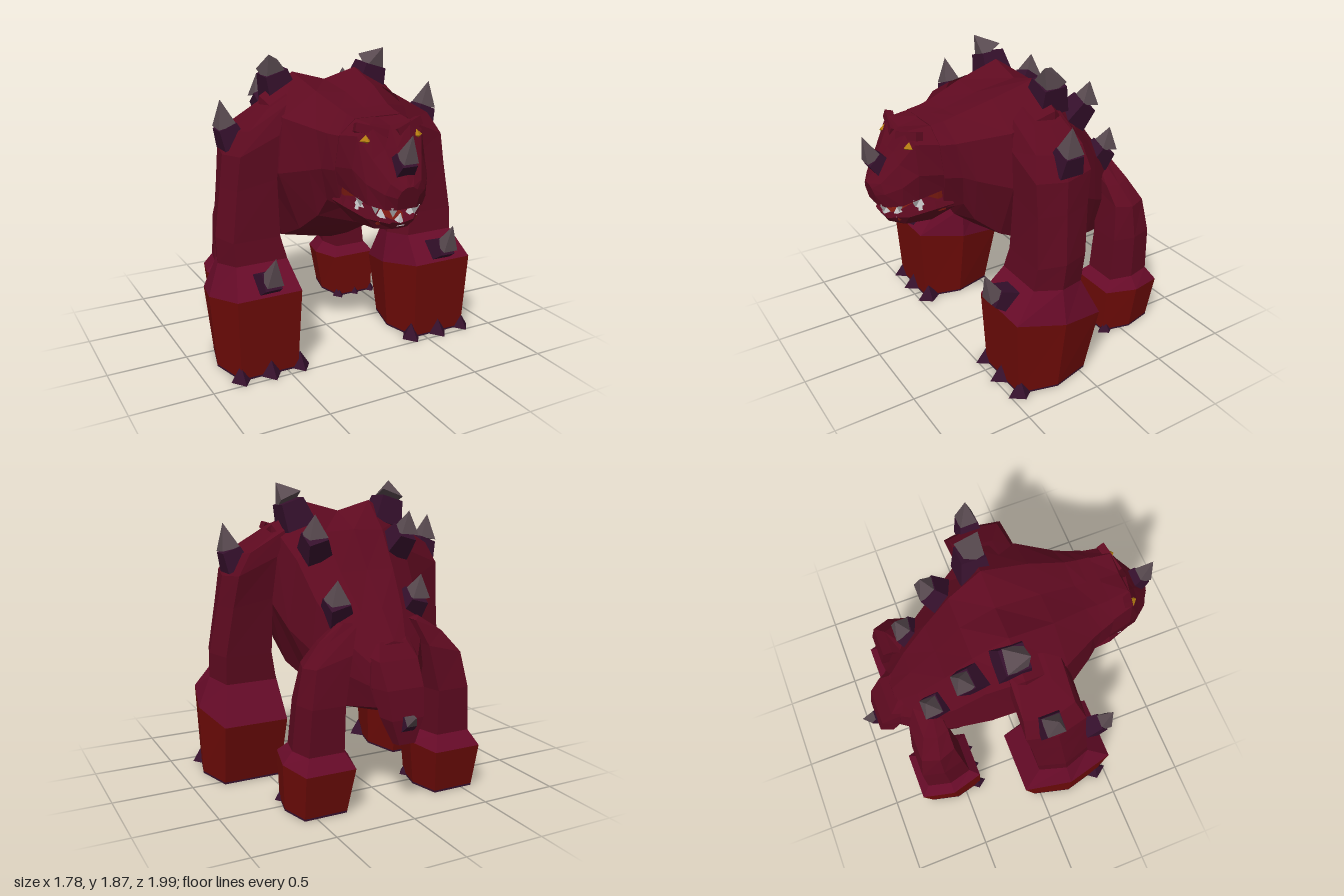
import * as THREE from 'three';

const mat = (color) => new THREE.MeshStandardMaterial({ color, flatShading: true });
const SKIN = mat(0x5e0a20), CUFF = mat(0x680b29), HOOF = mat(0x6e0b08), PLUM = mat(0x35102c);
const HORN = mat(0x594a50), EYE = mat(0xb07a10), MOUTH = mat(0x7a1a10), TOOTH = mat(0xcccccc);
const V = (x, y, z) => new THREE.Vector3(x, y, z);

// Skin a closed tube through rings of points, with both ends capped.
function loft(name, rings, material) {
  const pos = [], n = rings[0].length;
  const tri = (...p) => p.forEach((v) => pos.push(v.x, v.y, v.z));
  const centre = (r) => r.reduce((a, p) => a.add(p), V(0, 0, 0)).divideScalar(n);
  const first = rings[0], last = rings[rings.length - 1];
  const c0 = centre(first), c1 = centre(last);
  for (let j = 0; j < n; j++) {
    const k = (j + 1) % n;
    for (let i = 0; i + 1 < rings.length; i++) {
      const a = rings[i][j], b = rings[i][k], c = rings[i + 1][k], d = rings[i + 1][j];
      tri(a, d, b);
      tri(b, d, c);
    }
    tri(c0, first[j], first[k]);
    tri(c1, last[k], last[j]);
  }
  const g = new THREE.BufferGeometry();
  g.setAttribute('position', new THREE.Float32BufferAttribute(pos, 3));
  g.computeVertexNormals();
  const mesh = new THREE.Mesh(g, material);
  mesh.name = name;
  return mesh;
}

// Upright ring from a half profile (top to bottom), leaning from zTop to zBottom.
function section(zTop, zBottom, half) {
  const y0 = half[0][1], y1 = half[half.length - 1][1];
  const at = (s) => ([x, y]) => V(x * s, y, zTop + (zBottom - zTop) * (y0 - y) / (y0 - y1));
  return [...half.map(at(1)), ...half.slice(1, -1).reverse().map(at(-1))];
}

// Level six-sided ring for limbs; tz and tx tip it along z and x.
const HEX = [[1, 0], [0.75, 1], [-0.75, 1], [-1, 0], [-0.75, -1], [0.75, -1]];
const hexRing = (s, [cx, y, cz, rx, rz, tz = 0, tx = 0]) =>
  HEX.map(([x, z]) => V(s * cx + x * rx, y + tz * z + tx * s * x, cz + z * rz));

// Four-sided cone or frustum between two points.
function taper(name, from, to, r0, r1, material) {
  const d = to.clone().sub(from);
  const g = new THREE.CylinderGeometry(r1, r0, d.length(), 4);
  g.rotateY(Math.PI / 4);
  const m = new THREE.Mesh(g, material);
  m.position.copy(from).addScaledVector(d, 0.5);
  m.quaternion.setFromUnitVectors(V(0, 1, 0), d.normalize());
  m.name = name;
  return m;
}

// Dark socket from base to mid, with a pale point bending on to the tip.
function spike(name, base, mid, tip, r) {
  const g = new THREE.Group();
  g.add(taper('socket', base, mid, r, r * 0.75, PLUM), taper('point', mid, tip, r * 0.74, 0, HORN));
  g.name = name;
  return g;
}

// Leg with skin, flared cuff, hoof, sole and a row of claws.
function leg(name, s, skin, cuff, sole, claws) {
  const g = new THREE.Group();
  const top = sole.slice();
  top[1] = 0.012;
  g.add(loft('limb', skin.map((r) => hexRing(s, r)), SKIN));
  g.add(loft('cuff', [hexRing(s, cuff), hexRing(s, skin[0])], CUFF));
  g.add(loft('hoof', [hexRing(s, top), hexRing(s, cuff)], HOOF));
  g.add(loft('sole', [hexRing(s, sole), hexRing(s, top)], PLUM));
  for (const [x, z, r] of claws) {
    const claw = new THREE.Mesh(new THREE.ConeGeometry(r, r * 1.2, 4), PLUM);
    claw.position.set(s * x, r * 0.6, z);
    claw.scale.x = 0.75;
    claw.name = 'claw';
    g.add(claw);
  }
  g.name = name;
  return g;
}

export function createModel() {
  const model = new THREE.Group();
  model.name = 'hornedBeast';

  // Body from rump to neck
  model.add(loft('body', [
    section(-0.74, -0.78, [[0, 0.99], [0.08, 0.97], [0.16, 0.88], [0.17, 0.75], [0.13, 0.62], [0, 0.57]]),
    section(-0.6, -0.6, [[0, 1.16], [0.14, 1.14], [0.28, 1.02], [0.3, 0.82], [0.25, 0.6], [0, 0.55]]),
    section(-0.42, -0.42, [[0, 1.36], [0.18, 1.36], [0.34, 1.2], [0.37, 0.9], [0.3, 0.62], [0, 0.56]]),
    section(-0.25, -0.2, [[0, 1.59], [0.2, 1.58], [0.38, 1.42], [0.43, 1.0], [0.3, 0.66], [0, 0.6]]),
    section(-0.03, 0.05, [[0, 1.69], [0.22, 1.75], [0.45, 1.62], [0.49, 1.2], [0.34, 0.73], [0, 0.66]]),
    section(0.25, 0.28, [[0, 1.65], [0.2, 1.67], [0.42, 1.53], [0.46, 1.2], [0.33, 0.84], [0, 0.76]]),
    section(0.47, 0.42, [[0, 1.59], [0.16, 1.6], [0.31, 1.49], [0.35, 1.25], [0.28, 0.96], [0, 0.87]]),
    section(0.55, 0.48, [[0, 1.58], [0.155, 1.58], [0.28, 1.48], [0.3, 1.27], [0.25, 1.07], [0, 1.03]]),
    section(0.63, 0.6, [[0, 1.57], [0.15, 1.57], [0.25, 1.48], [0.27, 1.28], [0.22, 1.06], [0, 1.0]]),
  ], SKIN));

  // Upper head and snout
  model.add(loft('upperHead', [
    section(0.6, 0.6, [[0, 1.57], [0.15, 1.57], [0.25, 1.48], [0.27, 1.3], [0.25, 1.2], [0, 1.2]]),
    section(0.76, 0.76, [[0, 1.54], [0.13, 1.56], [0.21, 1.5], [0.24, 1.32], [0.22, 1.16], [0, 1.16]]),
    section(0.84, 0.85, [[0, 1.43], [0.08, 1.43], [0.16, 1.38], [0.2, 1.25], [0.19, 1.13], [0, 1.13]]),
    section(0.94, 0.92, [[0, 1.29], [0.05, 1.28], [0.1, 1.26], [0.13, 1.2], [0.12, 1.11], [0, 1.11]]),
    section(0.98, 0.95, [[0, 1.24], [0.02, 1.24], [0.05, 1.22], [0.07, 1.18], [0.06, 1.11], [0, 1.11]]),
  ], SKIN));

  // Lower jaw, mouth lining and floor
  model.add(loft('lowerJaw', [
    section(0.55, 0.5, [[0, 1.1], [0.22, 1.14], [0.25, 1.09], [0.18, 1.03], [0, 1.02]]),
    section(0.66, 0.66, [[0, 1.06], [0.22, 1.13], [0.24, 1.08], [0.17, 0.98], [0, 0.965]]),
    section(0.81, 0.81, [[0, 1.02], [0.17, 1.07], [0.18, 1.04], [0.12, 0.97], [0, 0.95]]),
    section(0.9, 0.88, [[0, 1.01], [0.07, 1.03], [0.08, 1.02], [0.05, 0.98], [0, 0.975]]),
  ], SKIN));
  const lining = new THREE.Mesh(new THREE.BoxGeometry(0.44, 0.16, 0.05), MOUTH);
  lining.position.set(0, 1.13, 0.612);
  lining.name = 'mouthLining';
  const floor = new THREE.Mesh(new THREE.BoxGeometry(0.26, 0.02, 0.22), MOUTH);
  floor.position.set(0, 1.045, 0.75);
  floor.rotation.x = 0.27;
  floor.name = 'mouthFloor';
  model.add(lining, floor);

  // Tail drooping from the rump
  model.add(loft('tail', [
    [0, 0.42, -0.86, 0.07, 0.045], [0, 0.58, -0.83, 0.14, 0.08, 0.01], [0, 0.74, -0.77, 0.16, 0.11],
    [0, 0.92, -0.7, 0.17, 0.1, 0.03], [0, 1.04, -0.66, 0.12, 0.07, 0.05],
  ].map((r) => hexRing(1, r)), SKIN));
  model.add(spike('tailSpike', V(0, 0.53, -0.88), V(0, 0.565, -0.935), V(0, 0.605, -1), 0.06));
  model.add(spike('noseHorn', V(0, 1.3, 0.86), V(0, 1.385, 0.94), V(0, 1.53, 0.99), 0.09));
  model.add(taper('tooth', V(0, 1.0, 0.87), V(0, 1.07, 0.89), 0.035, 0, TOOTH));

  for (const s of [1, -1]) {
    const side = s > 0 ? 'left' : 'right';

    // Legs
    model.add(leg(side + 'FrontLeg', s, [
      [0.6, 0.66, 0.15, 0.22, 0.17, 0.02], [0.62, 0.82, 0.13, 0.2, 0.17],
      [0.6, 1.15, 0.1, 0.17, 0.175, 0, -0.03], [0.575, 1.38, 0.08, 0.165, 0.19, 0, -0.07],
      [0.5, 1.53, 0.06, 0.16, 0.16, 0, -0.09], [0.4, 1.6, 0.03, 0.09, 0.1, 0, -0.05],
    ], [0.615, 0.46, 0.17, 0.275, 0.3, 0.06], [0.615, 0, 0.2, 0.25, 0.245],
    [[0.41, 0.43, 0.085], [0.61, 0.445, 0.085], [0.8, 0.43, 0.085]]));
    model.add(leg(side + 'BackLeg', s, [
      [0.43, 0.37, -0.59, 0.15, 0.15], [0.42, 0.65, -0.61, 0.14, 0.14],
      [0.37, 0.9, -0.61, 0.15, 0.11, 0, -0.04], [0.29, 1.03, -0.58, 0.12, 0.08, -0.01, -0.05],
      [0.21, 1.09, -0.56, 0.06, 0.04],
    ], [0.43, 0.295, -0.59, 0.21, 0.21, 0.015], [0.44, 0, -0.565, 0.18, 0.185],
    [[0.31, -0.4, 0.06], [0.44, -0.4, 0.06], [0.57, -0.4, 0.06]]));

    // Spikes on shoulders, feet and back
    model.add(
      spike(side + 'ShoulderSpike', V(s * 0.66, 1.36, 0.05), V(s * 0.705, 1.475, 0.05), V(s * 0.735, 1.635, 0.06), 0.11),
      spike(side + 'FootSpike', V(s * 0.61, 0.57, 0.38), V(s * 0.615, 0.63, 0.5), V(s * 0.615, 0.79, 0.56), 0.1),
      spike(side + 'FrontBackSpike', V(s * 0.3, 1.6, -0.06), V(s * 0.35, 1.76, -0.05), V(s * 0.4, 1.87, 0.02), 0.14),
      spike(side + 'MiddleBackSpike', V(s * 0.27, 1.46, -0.26), V(s * 0.31, 1.57, -0.345), V(s * 0.32, 1.7, -0.37), 0.115),
      spike(side + 'RearBackSpike', V(s * 0.23, 1.09, -0.47), V(s * 0.27, 1.21, -0.55), V(s * 0.28, 1.34, -0.58), 0.115),
    );

    // Brow and eye
    model.add(taper(side + 'Brow', V(s * 0.03, 1.5, 0.78), V(s * 0.21, 1.545, 0.73), 0.03, 0.035, SKIN));
    const eye = new THREE.Mesh(new THREE.OctahedronGeometry(0.045), EYE);
    eye.position.set(s * 0.165, 1.475, 0.775);
    eye.scale.set(0.9, 0.7, 0.8);
    eye.name = side + 'Eye';
    model.add(eye);

    // Teeth: lower row points up, upper row points down
    for (const [x, y, z] of [[0.1, 1.03, 0.84], [0.18, 1.08, 0.73]])
      model.add(taper('tooth', V(s * x, y, z), V(s * x, y + 0.07, z), 0.035, 0, TOOTH));
    for (const [x, y, z] of [[0.07, 1.12, 0.92], [0.14, 1.13, 0.85], [0.19, 1.16, 0.77]])
      model.add(taper('tooth', V(s * x, y, z), V(s * x, y - 0.06, z), 0.032, 0, TOOTH));
  }
  return model;
}
